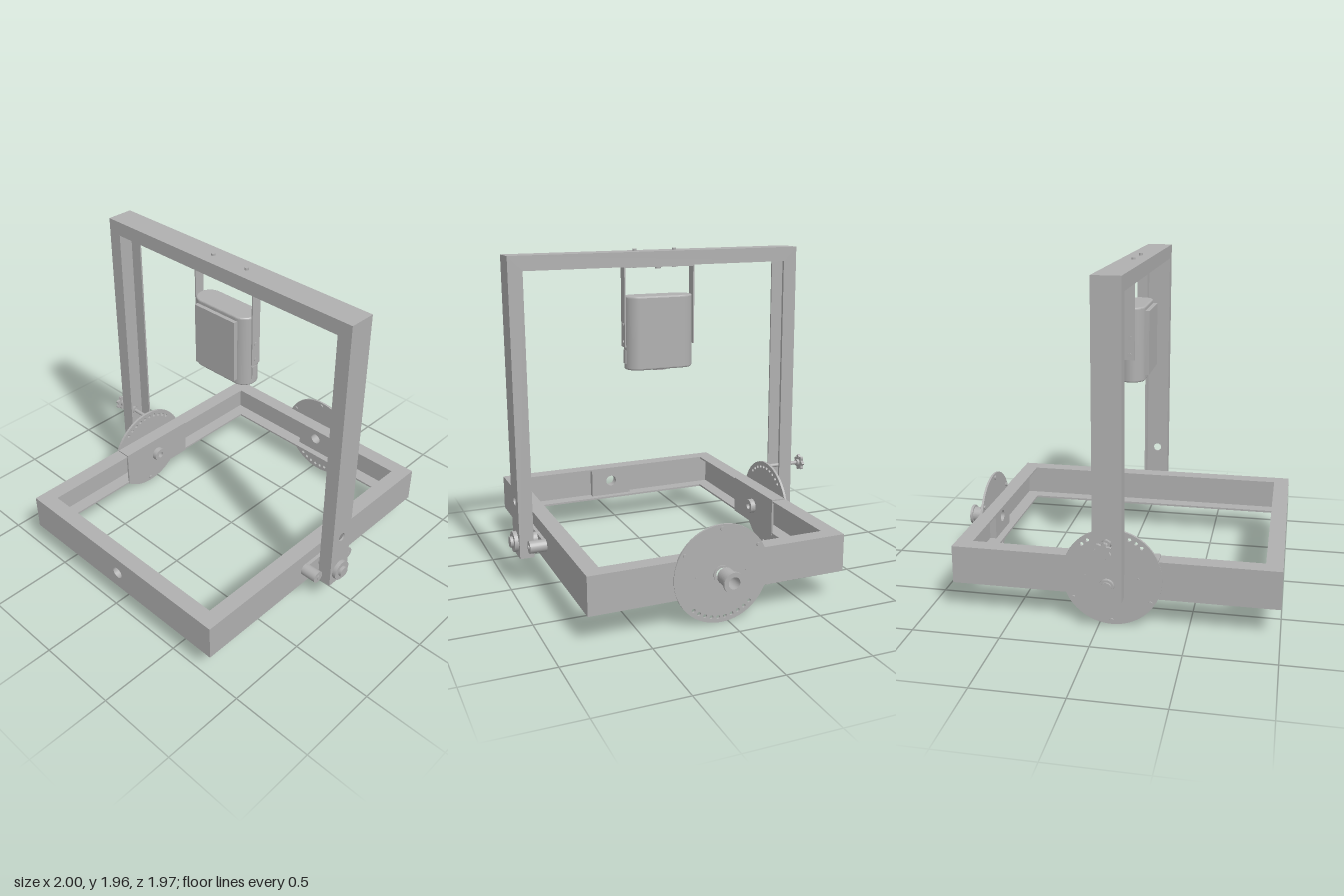
import * as THREE from 'three';

const steel = new THREE.MeshStandardMaterial({ color: 0xb0b0b0 });
steel.name = 'grey steel';

const AX = -0.07, AY = 0.29, AZ = 0.04; // pivot axes: (AX, AY) along z, (AZ, AY) along x

function add(parent, name, geometry) {
  const mesh = new THREE.Mesh(geometry, steel);
  mesh.name = name;
  parent.add(mesh);
  return mesh;
}

function box(parent, name, x0, x1, y0, y1, z0, z1) {
  const g = new THREE.BoxGeometry(x1 - x0, y1 - y0, z1 - z0);
  g.translate((x0 + x1) / 2, (y0 + y1) / 2, (z0 + z1) / 2);
  return add(parent, name, g);
}

function circle(x, y, r, Type = THREE.Path) {
  return new Type().absarc(x, y, r, 0, Math.PI * 2, false);
}

function polygon(points) {
  return new THREE.Shape(points.map(([x, y]) => new THREE.Vector2(x, y)));
}

function rect(x0, x1, y0, y1) {
  return polygon([[x0, y0], [x1, y0], [x1, y1], [x0, y1]]);
}

// Slab from a shape; axis 'z': shape is (x, y); axis 'x': shape is (z, y); axis 'y': shape is (x, z)
function slab(parent, name, axis, shape, from, to, holes = []) {
  holes.forEach(([a, b, r]) => shape.holes.push(circle(a, b, r)));
  const g = new THREE.ExtrudeGeometry(shape, { depth: to - from, bevelEnabled: false, curveSegments: 32 });
  if (axis === 'z') g.translate(0, 0, from);
  if (axis === 'x') g.rotateY(-Math.PI / 2).translate(to, 0, 0);
  if (axis === 'y') g.rotateX(Math.PI / 2).translate(0, to, 0);
  return add(parent, name, g);
}

// Round pin along x, y or z; a, b are the other two coordinates in the order used by slab
function pin(parent, name, axis, r, from, to, a, b, sides = 24) {
  const g = new THREE.CylinderGeometry(r, r, to - from, sides);
  const mid = (from + to) / 2;
  if (axis === 'x') g.rotateZ(Math.PI / 2).translate(mid, b, a);
  if (axis === 'y') g.translate(a, mid, b);
  if (axis === 'z') g.rotateX(Math.PI / 2).translate(a, b, mid);
  return add(parent, name, g);
}

const tube = (parent, name, axis, r, bore, from, to, a, b) =>
  slab(parent, name, axis, circle(a, b, r, THREE.Shape), from, to, [[a, b, bore]]);

// Index disc with an arc of holes on one side and three bolts on the other
function indexDisc(parent, name, axis, c, from, to, side, outward) {
  const polar = (deg, r) => {
    const t = deg * Math.PI / 180;
    return [c + r * Math.cos(t), AY + side * r * Math.sin(t)];
  };
  const holes = [[c, AY, 0.036]];
  for (let i = 0; i < 10; i++) holes.push([...polar(-48 - i * 84 / 9, 0.25), 0.011]);
  slab(parent, name, axis, circle(c, AY, 0.282, THREE.Shape), from, to, holes);
  for (const deg of [32, 90, 148]) {
    const [a, b] = polar(deg, 0.258);
    pin(parent, name + 'Bolt', axis, 0.012, from - 0.008, to + 0.008, a, b, 12);
  }
  for (const s of [-0.15, 0.15]) {
    const e = outward > 0 ? to : from;
    pin(parent, name + 'Rivet', axis, 0.007, e - 0.003, e + 0.003, c + s, AY, 10);
  }
}

function buildBase() {
  const g = new THREE.Group();
  g.name = 'baseFrame';
  const X0 = -1, X1 = 0.855, Z0 = -0.73, Z1 = 0.8, Y0 = 0.178, Y1 = 0.4, W = 0.095, T = 0.012;
  // inward-facing channel: flanges above and below, walls outside
  for (const [name, y] of [['lowerFlange', Y0], ['upperFlange', Y1 - T]]) {
    const ring = rect(X0, X1, Z0, Z1);
    ring.holes.push(rect(X0 + W, X1 - W, Z0 + W, Z1 - W));
    slab(g, name, 'y', ring, y, y + T);
  }
  for (const [name, x] of [['rightWall', X0], ['leftWall', X1 - T]])
    slab(g, name, 'x', rect(Z0, Z1, Y0, Y1), x, x + T, [[AZ, AY, 0.036]]);
  box(g, 'frontWall', X0, X1, Y0, Y1, Z1 - T, Z1);
  box(g, 'backWall', X0, X1, Y0, Y1, Z0, Z0 + T);

  // bored stiffeners inside the side channels
  for (const [x, e] of [[X0 + T, 0.04], [X1 - T - 0.04, 0.04]])
    slab(g, 'sideStiffener', 'x', rect(-0.1, 0.18, Y0 + T, Y1 - T), x, x + e, [[AZ, AY, 0.036]]);

  // saddle around the back channel
  const saddle = new THREE.Group();
  saddle.name = 'backSaddle';
  g.add(saddle);
  box(saddle, 'saddleFace', -0.33, 0.19, Y0 - 0.004, Y1 + 0.008, -0.645, -0.632);
  box(saddle, 'saddleTop', -0.33, 0.19, Y1, Y1 + 0.008, -0.725, -0.635);
  tube(saddle, 'saddleHub', 'z', 0.045, 0.02, -0.632, -0.6, AX, AY);

  // index discs on the left and back sides
  indexDisc(g, 'leftDisc', 'x', AZ, 0.846, 0.859, 1, 1);
  indexDisc(g, 'backDisc', 'z', AX, -0.735, -0.72, -1, -1);
  tube(g, 'leftDiscCollar', 'x', 0.05, 0.036, 0.855, 0.864, AZ, AY);

  // flanged bushing on the left axis
  tube(g, 'bushing', 'x', 0.048, 0.034, 0.89, 0.988, AZ - 0.005, AY);
  tube(g, 'bushingFlange', 'x', 0.06, 0.034, 0.985, 1, AZ - 0.005, AY);

  // front pivot stops: a link plate with two spacers
  box(g, 'stopLink', -0.21, 0.065, 0.25, 0.32, 0.8, 0.82);
  for (const x of [-0.21, 0.065]) {
    pin(g, 'stopSpacer', 'z', 0.037, 0.8, 0.9, x, 0.285);
    pin(g, 'stopBolt', 'z', 0.014, 0.9, 0.906, x, 0.285, 6);
  }
  g.position.set(0, AY * (1 - Math.cos(0.004)), 0);
  g.rotation.x = 0.004;
  return g;
}

function buildArch() {
  const pivot = new THREE.Group();
  pivot.name = 'arch';
  const g = new THREE.Group();
  g.name = 'archParts';
  pivot.add(g);
  const X0 = -0.15, X1 = 0.01, Z0 = -0.865, Z1 = 0.942, Y0 = 0.2, Y1 = 1.96, D = 0.085, T = 0.01;
  // inward-facing channel bent into an upside-down U
  for (const x of [X0, X1 - T])
    slab(g, 'archFlange', 'x', polygon([
      [Z0, Y0], [Z0 + D, Y0], [Z0 + D, Y1 - D], [Z1 - D, Y1 - D],
      [Z1 - D, Y0], [Z1, Y0], [Z1, Y1], [Z0, Y1]]), x, x + T);
  const holes = [[AX, 0.535, 0.026]];
  slab(g, 'frontPostWeb', 'z', rect(X0, X1, Y0, Y1), Z1 - T, Z1, holes);
  slab(g, 'backPostWeb', 'z', rect(X0, X1, Y0, Y1), Z0, Z0 + T, holes);
  box(g, 'topWeb', X0, X1, Y1 - T, Y1, Z0, Z1);

  // axles through the feet of the posts
  pin(g, 'frontAxle', 'z', 0.04, 0.79, 0.965, AX, 0.285);
  pin(g, 'frontAxleFlange', 'z', 0.062, Z1, 0.965, AX, 0.285);
  pin(g, 'frontAxleCap', 'z', 0.033, 0.965, 0.983, AX, 0.285);
  pin(g, 'backAxle', 'z', 0.045, -0.865, -0.72, AX, 0.3);
  pin(g, 'backAxleFlange', 'z', 0.042, -0.885, Z0, AX, 0.3);
  pin(g, 'backAxleCap', 'z', 0.03, -0.895, -0.885, AX, 0.3);

  // locking plunger with a lobed knob
  pin(g, 'plunger', 'z', 0.012, -0.96, -0.73, AX, 0.545, 16);
  pin(g, 'plungerNut', 'z', 0.027, -0.885, Z0, AX, 0.545, 6);
  pin(g, 'plungerInnerNut', 'z', 0.027, -0.855, -0.835, AX, 0.545, 6);
  const lobes = [];
  for (let i = 0; i < 42; i++) {
    const t = i / 42 * Math.PI * 2, r = 0.044 + 0.008 * Math.cos(7 * t);
    lobes.push([AX + r * Math.cos(t), 0.545 + r * Math.sin(t)]);
  }
  slab(g, 'knob', 'z', polygon(lobes), -0.984, -0.966);
  pin(g, 'knobNeck', 'z', 0.022, -0.968, -0.95, AX, 0.545);

  // small tilt about the pivot axis
  g.position.y = -AY;
  pivot.position.y = AY;
  pivot.rotation.x = 0.0065;
  return pivot;
}

function buildHangingUnit() {
  const g = new THREE.Group();
  g.name = 'hangingUnit';
  const cz = 0.033, H = 0.212, R = 0.078;
  // strap hanger
  box(g, 'strapTop', AX - 0.03, AX + 0.03, 1.865, 1.872, cz - 0.222, cz + 0.222);
  for (const s of [-1, 1]) {
    const z = cz + s * 0.219;
    box(g, 'strap', AX - 0.03, AX + 0.03, 1.4, 1.872, z - 0.004, z + 0.004);
    for (const y of [1.53, 1.43]) pin(g, 'strapBolt', 'z', 0.012, z - 0.008, z + 0.008, AX, y, 12);
  }
  for (const z of [0.18, -0.07]) pin(g, 'topBolt', 'y', 0.012, 1.86, 1.972, AX, z, 12);
  pin(g, 'centreNut', 'y', 0.018, 1.855, 1.868, AX, cz, 6);

  // body with rounded ends and softened top and bottom edges
  const plan = new THREE.Shape();
  const s = H - R;
  plan.absarc(AX, cz + s, R - 0.01, 0, Math.PI, false);
  plan.absarc(AX, cz - s, R - 0.01, Math.PI, Math.PI * 2, false);
  const body = new THREE.ExtrudeGeometry(plan, {
    depth: 0.417, bevelThickness: 0.01, bevelSize: 0.01, bevelSegments: 3, curveSegments: 20 });
  body.rotateX(Math.PI / 2).translate(0, 1.69, 0);
  add(g, 'unitBody', body);

  // raised panel on the right face, end socket and bottom mount
  box(g, 'unitPanel', -0.172, -0.14, 1.3, 1.675, -0.12, 0.185);
  box(g, 'endSocket', AX - 0.018, AX + 0.018, 1.3, 1.38, cz + H - 0.01, cz + H + 0.003);
  tube(g, 'bottomMount', 'y', 0.05, 0.02, 1.253, 1.266, AX, cz);
  return g;
}

export function createModel() {
  const model = new THREE.Group();
  model.name = 'pivotingStand';
  model.add(buildBase(), buildArch(), buildHangingUnit());
  return model;
}
